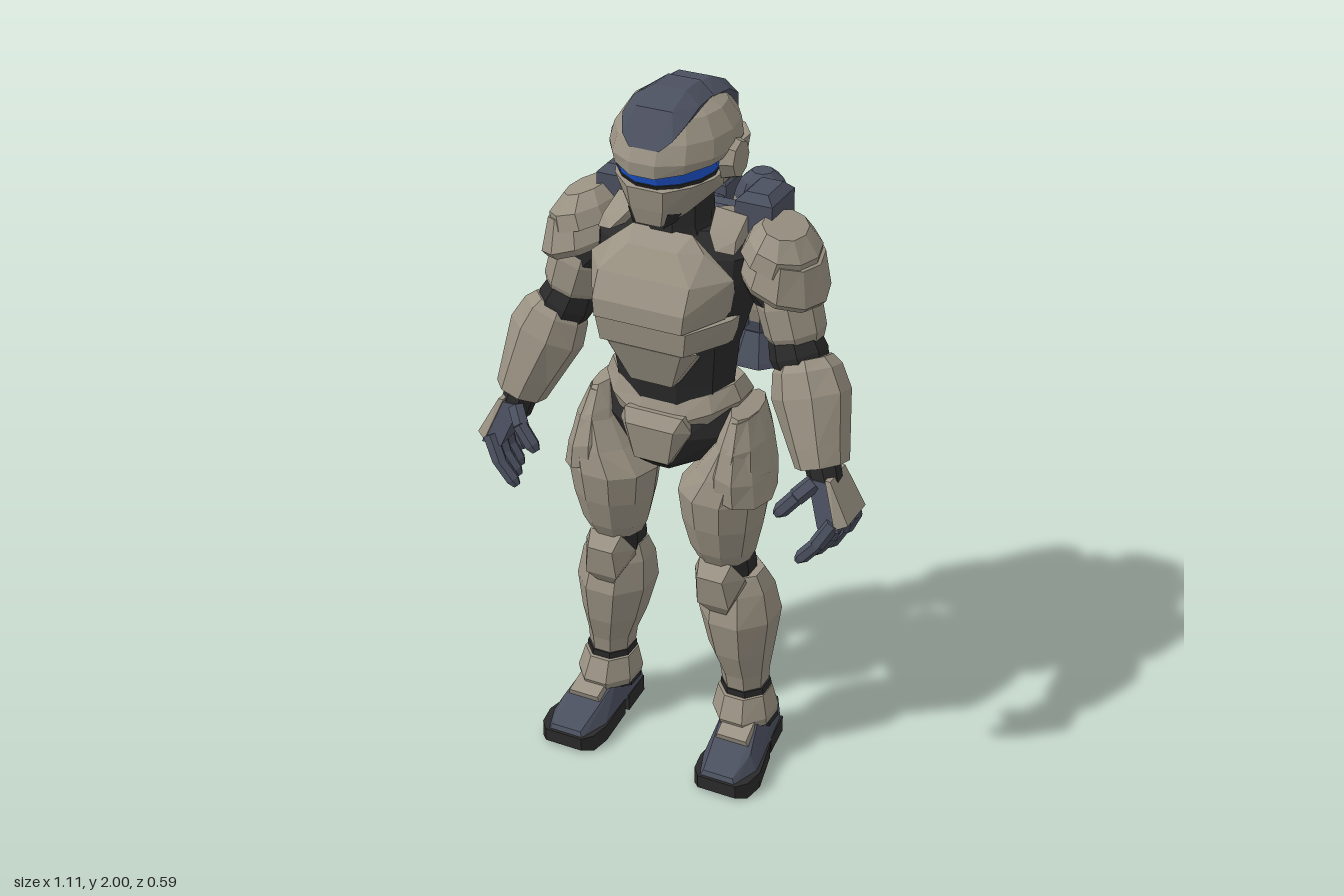
import * as THREE from 'three';
import { ConvexGeometry } from 'three/addons/geometries/ConvexGeometry.js';

const V = (p) => new THREE.Vector3(...p);

// Faceted loft through level rings; each section is [x, y, zFront, zBack, halfWidth], bottom to top
function loft(sections, n = 8) {
  const pos = [], idx = [], k = 1 / Math.cos(Math.PI / n);
  sections.forEach(([x, y, zf, zb, w]) => {
    for (let i = 0; i < n; i++) {
      const a = ((i + 0.5) / n) * Math.PI * 2;
      pos.push(x + w * k * Math.sin(a), y, (zf + zb) / 2 + ((zf - zb) / 2) * k * Math.cos(a));
    }
  });
  const top = (sections.length - 1) * n;
  for (let s = 0; s < top; s += n)
    for (let i = 0; i < n; i++) {
      const j = (i + 1) % n;
      idx.push(s + i, s + j, s + n + j, s + i, s + n + j, s + n + i);
    }
  for (let i = 1; i < n - 1; i++) idx.push(0, i + 1, i, top, top + i, top + i + 1);
  const g = new THREE.BufferGeometry();
  g.setAttribute('position', new THREE.Float32BufferAttribute(pos, 3));
  g.setIndex(idx);
  return flat(g);
}

function flat(g) {
  const f = g.index ? g.toNonIndexed() : g;
  f.computeVertexNormals();
  return f;
}

const hull = (pts) => flat(new ConvexGeometry(pts.map(V)));
const symHull = (pts) => hull(pts.flatMap(([x, y, z]) => [[x, y, z], [-x, y, z]]));

// Raise vertices below a height in proportion to their distance from x = x0
function slope(g, k, x0 = 0, below = Infinity) {
  const p = g.attributes.position;
  for (let i = 0; i < p.count; i++) if (p.getY(i) < below) p.setY(i, p.getY(i) + k * (Math.abs(p.getX(i)) - x0));
  return flat(g);
}

// Box with chamfered top and bottom
function block(x, y, z, w, h, d, c = 0.01) {
  const s = (yy, i) => [x, yy, z + d / 2 - i, z - d / 2 + i, w / 2 - i];
  return loft([s(y - h / 2, c), s(y - h / 2 + c, 0), s(y + h / 2 - c, 0), s(y + h / 2, c)], 4);
}

// Limb piece from a to b; stations are [fraction, radius X, radius Z]
function limb(a, b, stations, n = 8) {
  const d = V(a).sub(V(b)), len = d.length();
  const g = loft(stations.map(([t, rx, rz = rx]) => [0, -t * len, rz, -rz, rx]).reverse(), n);
  g.applyQuaternion(new THREE.Quaternion().setFromUnitVectors(new THREE.Vector3(0, 1, 0), d.normalize()));
  return g.translate(...a);
}

// Copy reflected in x, with the corner order restored
function mirror(g) {
  const m = g.clone(), p = m.attributes.position, q = g.attributes.position;
  for (let i = 0; i < p.count; i += 3)
    [0, 2, 1].forEach((o, k) => p.setXYZ(i + k, -q.getX(i + o), q.getY(i + o), q.getZ(i + o)));
  m.computeVertexNormals();
  return m;
}

export function createModel() {
  const model = new THREE.Group();
  model.name = 'armouredFigure';
  const mat = (name, color) => Object.assign(new THREE.MeshStandardMaterial({ color }), { name });
  const tan = mat('tanArmour', 0x9a9283), slate = mat('slate', 0x4b505f), black = mat('blackSuit', 0x2a2a2a);
  const blue = mat('visorBlue', 0x1d55d0), glow = mat('packBlue', 0x5f86cc);
  const add = (name, g, m) => {
    const mesh = new THREE.Mesh(g, m);
    mesh.name = name;
    model.add(mesh);
  };
  const pair = (name, g, m) => {
    add(name + 'Left', g, m);
    add(name + 'Right', mirror(g), m);
  };

  // Helmet
  add('helmetShell', slope(loft([[0, 1.814, 0.238, -0.15, 0.15], [0, 1.855, 0.24, -0.155, 0.158], [0, 1.9, 0.218, -0.15, 0.15],
    [0, 1.95, 0.175, -0.11, 0.118], [0, 1.972, 0.13, -0.06, 0.08], [0, 1.98, 0.09, -0.02, 0.045]], 14), 0.15, 0, 1.83), tan);
  add('helmetBack', loft([[0, 1.73, 0.06, -0.1, 0.115], [0, 1.77, 0.09, -0.14, 0.147], [0, 1.85, 0.1, -0.157, 0.157]], 12), tan);
  add('crestFront', symHull([[0.042, 1.89, 0.226], [0.07, 1.915, 0.207], [0.09, 1.95, 0.165], [0.092, 1.972, 0.1], [0.087, 1.97, 0.01],
    [0.05, 1.975, 0.168], [0.045, 2.0, 0.08], [0.045, 1.999, 0.0], [0.06, 1.94, 0.05]]), slate);
  add('crestBack', symHull([[0.088, 1.968, 0.015], [0.09, 1.955, -0.075], [0.087, 1.92, -0.138], [0.075, 1.862, -0.163],
    [0.045, 1.993, 0.015], [0.045, 1.988, -0.06], [0.05, 1.953, -0.135], [0.05, 1.88, 0]]), slate);
  add('visor', slope(loft([[0, 1.787, 0.216, -0.04, 0.128], [0, 1.822, 0.226, -0.04, 0.133]], 14), 0.12), blue);
  add('visorSill', slope(loft([[0, 1.75, 0.195, -0.04, 0.115], [0, 1.789, 0.22, -0.04, 0.131]], 14), 0.1), black);
  add('jaw', symHull([[0.14, 1.79, 0.05], [0.137, 1.79, 0.11], [0.108, 1.787, 0.175], [0.05, 1.779, 0.223], [0.13, 1.745, 0.04],
    [0.045, 1.72, 0.215], [0.08, 1.7, 0.15], [0.035, 1.675, 0.205], [0.05, 1.675, 0.14]]), tan);
  pair('jawVent', hull([[0.055, 1.715, 0.207], [0.075, 1.705, 0.165], [0.042, 1.672, 0.205], [0.053, 1.672, 0.15], [0.04, 1.7, 0.17]]), black);
  const ear = new THREE.CylinderGeometry(0.048, 0.06, 0.035, 8).rotateZ(-Math.PI / 2).translate(0.157, 1.82, 0.03);
  pair('earDisc', flat(ear), tan);
  add('neck', loft([[0, 1.55, 0.14, -0.08, 0.12], [0, 1.64, 0.13, -0.06, 0.09], [0, 1.76, 0.12, -0.06, 0.085]], 10), black);

  // Torso
  add('torsoSuit', loft([[0, 1.08, 0.15, -0.06, 0.16], [0, 1.2, 0.16, -0.06, 0.165], [0, 1.32, 0.18, -0.07, 0.18],
    [0, 1.48, 0.17, -0.08, 0.225], [0, 1.57, 0.145, -0.08, 0.225], [0, 1.625, 0.1, -0.05, 0.14]], 10), black);
  add('chestPlate', symHull([[0.085, 1.63, 0.125], [0.07, 1.6, 0.185], [0.13, 1.595, 0.15], [0.13, 1.535, 0.235], [0.205, 1.53, 0.13],
    [0.13, 1.47, 0.27], [0.125, 1.42, 0.272], [0.185, 1.42, 0.14], [0.19, 1.44, 0.09]]), tan);
  add('ribBand', symHull([[0.13, 1.415, 0.258], [0.12, 1.345, 0.25], [0.2, 1.415, 0.13], [0.185, 1.34, 0.12],
    [0.2, 1.4, 0.02], [0.17, 1.31, 0.0], [0.11, 1.4, -0.075], [0.11, 1.3, -0.07]]), tan);
  add('stomachPlate', symHull([[0.14, 1.335, 0.2], [0.105, 1.335, 0.235], [0.06, 1.215, 0.195], [0.065, 1.215, 0.15], [0.12, 1.3, 0.15]]), tan);
  add('backPlate', symHull([[0.15, 1.6, -0.04], [0.11, 1.58, -0.1], [0.19, 1.48, -0.05], [0.13, 1.4, -0.1], [0.16, 1.38, -0.04]]), tan);
  pair('collarStrap', hull([[0.1, 1.67, 0.02], [0.185, 1.655, 0.01], [0.19, 1.62, 0.09], [0.12, 1.635, 0.1], [0.195, 1.59, 0.11],
    [0.15, 1.6, 0.13], [0.1, 1.63, -0.08], [0.18, 1.6, -0.08], [0.1, 1.61, 0.05]]), tan);
  pair('shoulderBlock', block(0.2, 1.64, -0.062, 0.105, 0.145, 0.14, 0.022), slate);

  // Belt and pelvis
  add('belt', slope(loft([[0, 1.035, 0.165, -0.11, 0.18], [0, 1.07, 0.175, -0.125, 0.2], [0, 1.125, 0.155, -0.085, 0.18]], 12), 0.38), tan);
  add('buckle', symHull([[0.085, 1.12, 0.185], [0.105, 1.075, 0.17], [0.07, 1.085, 0.21], [0.05, 0.98, 0.2], [0.06, 0.98, 0.14], [0.08, 1.11, 0.13]]), tan);
  add('pelvis', loft([[0, 0.93, 0.14, -0.02, 0.055], [0, 0.965, 0.18, -0.05, 0.105], [0, 1.05, 0.185, -0.075, 0.172], [0, 1.13, 0.145, -0.06, 0.18]]), black);

  // Legs
  pair('thigh', loft([[0.165, 0.67, 0.155, 0.015, 0.072], [0.165, 0.71, 0.175, 0.0, 0.09], [0.165, 0.8, 0.2, -0.02, 0.11],
    [0.166, 0.89, 0.212, -0.035, 0.122], [0.19, 0.96, 0.2, -0.055, 0.095], [0.208, 1.04, 0.175, -0.06, 0.058], [0.208, 1.11, 0.13, -0.05, 0.03]], 10), tan);
  pair('hipPlate', slope(loft([[0.215, 0.885, 0.16, 0.0, 0.06], [0.215, 0.905, 0.205, -0.04, 0.082], [0.212, 0.97, 0.203, -0.066, 0.075],
    [0.21, 1.05, 0.17, -0.068, 0.055], [0.207, 1.12, 0.12, -0.05, 0.03]], 10), -0.3, 0.21), tan);
  pair('kneeJoint', loft([[0.175, 0.55, 0.12, -0.01, 0.06], [0.17, 0.63, 0.12, -0.02, 0.064], [0.165, 0.72, 0.13, 0.01, 0.062]]), black);
  pair('kneePad', hull([[0.12, 0.68, 0.15], [0.215, 0.68, 0.15], [0.092, 0.625, 0.12], [0.245, 0.625, 0.12], [0.13, 0.64, 0.188],
    [0.205, 0.64, 0.188], [0.125, 0.55, 0.175], [0.22, 0.55, 0.175], [0.15, 0.51, 0.145], [0.2, 0.51, 0.145], [0.105, 0.59, 0.09], [0.235, 0.59, 0.09]]), tan);
  pair('shin', loft([[0.213, 0.21, 0.1, -0.025, 0.058], [0.21, 0.28, 0.11, -0.035, 0.064], [0.2, 0.36, 0.135, -0.055, 0.085],
    [0.192, 0.47, 0.15, -0.08, 0.105], [0.185, 0.56, 0.13, -0.055, 0.095], [0.18, 0.61, 0.11, -0.025, 0.075]]), tan);
  pair('ankle', loft([[0.22, 0.105, 0.1, -0.045, 0.078], [0.213, 0.235, 0.108, -0.032, 0.064]]), black);
  pair('ankleCuff', loft([[0.218, 0.125, 0.135, -0.05, 0.08], [0.216, 0.15, 0.145, -0.055, 0.084], [0.213, 0.215, 0.118, -0.035, 0.07]]), tan);

  // Boots
  pair('boot', hull([[0.165, 0.045, -0.06], [0.28, 0.045, -0.06], [0.175, 0.13, -0.05], [0.275, 0.13, -0.05], [0.17, 0.14, 0.1],
    [0.28, 0.14, 0.1], [0.155, 0.045, 0.2], [0.325, 0.045, 0.2], [0.185, 0.095, 0.19], [0.3, 0.095, 0.19],
    [0.185, 0.045, 0.285], [0.295, 0.045, 0.285], [0.195, 0.065, 0.275], [0.285, 0.065, 0.275]]), slate);
  pair('instepPlate', hull([[0.185, 0.155, 0.1], [0.275, 0.155, 0.1], [0.19, 0.125, 0.18], [0.28, 0.125, 0.18], [0.18, 0.09, 0.17], [0.29, 0.09, 0.17]]), tan);
  const sole = (zs) => hull(zs.flatMap(([z, x0, x1, y = 0]) => [[x0, y, z], [x1, y, z], [x0, 0.052, z], [x1, 0.052, z]]));
  pair('toeSole', sole([[0.065, 0.16, 0.305], [0.2, 0.15, 0.335], [0.26, 0.16, 0.325], [0.29, 0.185, 0.3, 0.012]]), black);
  pair('heelSole', sole([[-0.065, 0.165, 0.285], [0.045, 0.158, 0.298]]), black);
  pair('archSole', block(0.23, 0.038, 0.05, 0.12, 0.03, 0.1), black);

  // Shoulders and arms
  pair('pauldronRim', loft([[0.015, -0.06, 0.12, -0.125, 0.11], [0.015, -0.04, 0.133, -0.137, 0.118], [-0.01, 0.045, 0.11, -0.12, 0.09]], 10)
    .rotateZ(-0.38).translate(0.29, 1.545, 0), tan);
  pair('pauldronCap', loft([[0, 0, 0.122, -0.13, 0.098], [0, 0.045, 0.115, -0.12, 0.09], [-0.015, 0.085, 0.075, -0.085, 0.055]], 10)
    .rotateZ(-0.3).translate(0.275, 1.56, 0), tan);
  pair('shoulderJoint', limb([0.22, 1.54, 0], [0.32, 1.42, 0], [[0, 0.085], [1, 0.07]]), black);
  pair('upperArm', limb([0.285, 1.5, 0], [0.335, 1.325, 0.01], [[0, 0.065], [0.35, 0.08], [0.8, 0.077], [1, 0.062]]), tan);
  pair('elbow', limb([0.315, 1.37, 0.01], [0.375, 1.22, 0.035], [[0, 0.06], [0.45, 0.073], [1, 0.058]]), black);
  pair('forearm', limb([0.362, 1.295, 0.022], [0.45, 1.035, 0.098],
    [[0, 0.066, 0.066], [0.1, 0.086, 0.082], [0.34, 0.1, 0.088], [0.8, 0.076, 0.08], [1, 0.066, 0.074]]), tan);
  pair('wrist', limb([0.44, 1.06, 0.09], [0.47, 0.97, 0.105], [[0, 0.045], [1, 0.042]]), black);

  // Hands
  pair('palm', hull([[0.43, 1.01, 0.06], [0.5, 1.01, 0.06], [0.43, 1.01, 0.145], [0.5, 1.01, 0.145],
    [0.48, 0.89, 0.035], [0.535, 0.89, 0.035], [0.475, 0.89, 0.18], [0.535, 0.89, 0.18]]), slate);
  pair('handPlate', hull([[0.48, 1.02, 0.05], [0.495, 1.02, 0.05], [0.48, 1.02, 0.15], [0.495, 1.02, 0.15], [0.525, 0.9, 0.025],
    [0.555, 0.91, 0.045], [0.525, 0.9, 0.185], [0.555, 0.91, 0.165]]), tan);
  const finger = (name, pts, r) => {
    pair(name + 'Base', limb(pts[0], pts[1], [[0, r], [1, r]], 6), slate);
    pair(name + 'Tip', limb(pts[1], pts[2], [[-0.1, r * 0.9], [0.75, r * 0.9], [1, r * 0.5]], 6), slate);
  };
  for (let i = 0; i < 4; i++) {
    const z = 0.048 + i * 0.04, out = (i - 1.5) * 0.012, short = i === 0 ? 0.02 : 0;
    finger('finger' + (i + 1), [[0.515, 0.91, z], [0.52 - i * 0.014, 0.845 + short, z + out], [0.49 - i * 0.022, 0.78 + short, z + out]], 0.019);
  }
  finger('thumb', [[0.445, 1.0, 0.14], [0.41, 0.965, 0.175], [0.36, 0.905, 0.185]], 0.021);

  // Jet pack
  add('packFrame', block(0, 1.435, -0.105, 0.25, 0.38, 0.07, 0.015), slate);
  add('packSpine', block(0, 1.44, -0.15, 0.06, 0.34, 0.06), slate);
  add('packHead', block(0, 1.59, -0.237, 0.06, 0.09, 0.1), slate);
  add('spineLight', block(0, 1.435, -0.183, 0.04, 0.28, 0.008, 0.001), glow);
  const tank = (name, profile, m) => pair(name, loft(profile.map(([y, r]) => [0.125, y, -0.212 + r, -0.212 - r, r])), m);
  tank('tankCore', [[1.24, 0.06], [1.28, 0.07], [1.6, 0.07], [1.625, 0.066], [1.66, 0.052], [1.682, 0.027]], slate);
  tank('tankLower', [[1.268, 0.068], [1.31, 0.08], [1.42, 0.083], [1.43, 0.077]], tan);
  tank('tankUpper', [[1.437, 0.077], [1.447, 0.083], [1.54, 0.081], [1.608, 0.069]], tan);
  tank('nozzle', [[1.13, 0.084], [1.145, 0.08], [1.225, 0.05], [1.235, 0.058], [1.26, 0.06]], slate);
  tank('nozzleMouth', [[1.127, 0.066], [1.131, 0.066]], black);
  return model;
}
